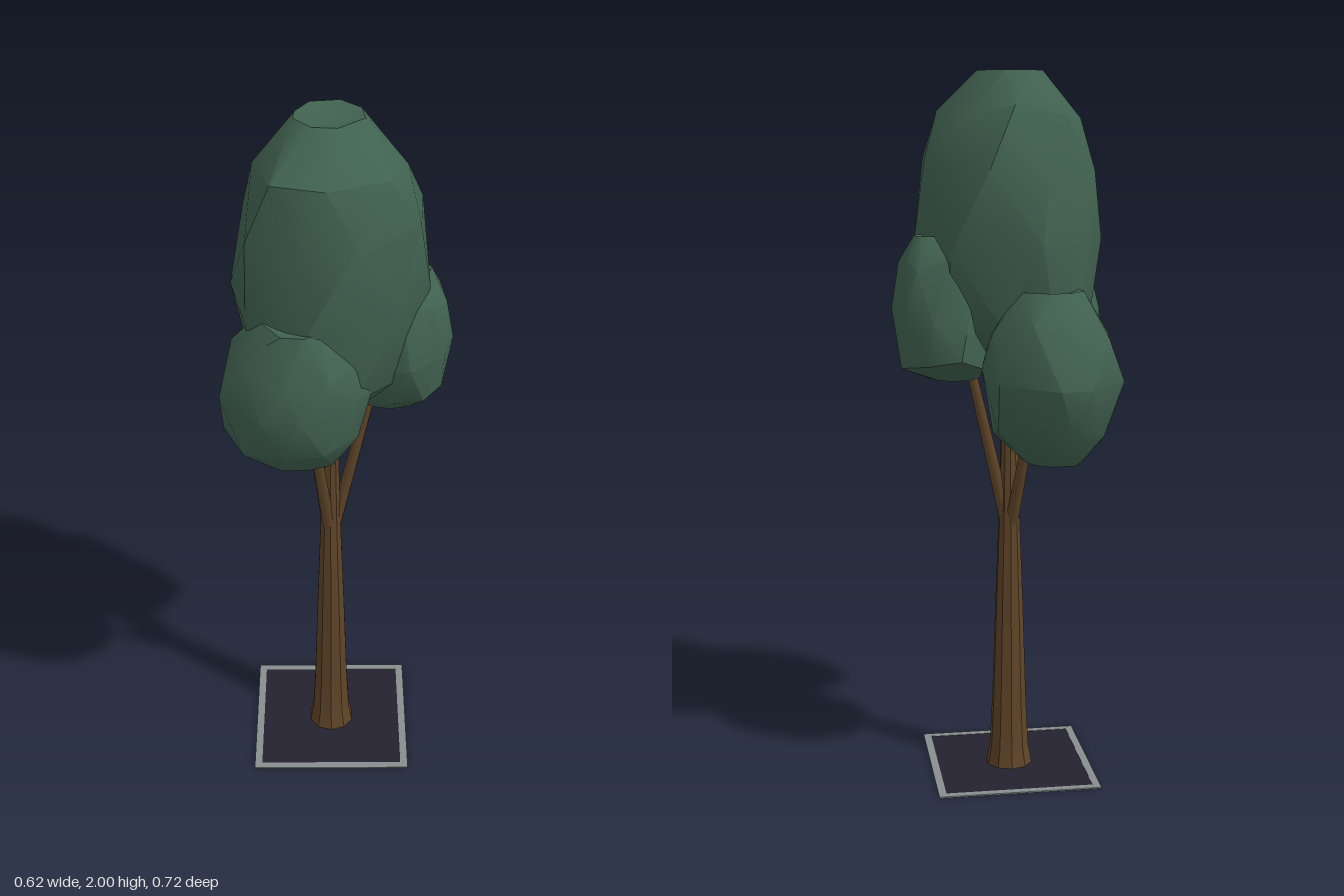
import * as THREE from 'three';
import { toCreasedNormals } from 'three/addons/utils/BufferGeometryUtils.js';

const CX = -0.027, CZ = 0.028; // trunk axis

function seeded(seed) {
  let s = seed;
  return () => (s = (s * 16807) % 2147483647) / 2147483647;
}

// Faceted leaf mass lofted through rings of [y, xMin, xMax, zMin, zMax]
function leafGeometry(rings, seed, sides = 9) {
  const rnd = seeded(seed);
  const pos = [], index = [];
  const mid = (r) => [(r[1] + r[2]) / 2, r[0], (r[3] + r[4]) / 2];
  rings.forEach((r, i) => {
    const [mx, y, mz] = mid(r);
    const edge = i === 0 || i === rings.length - 1;
    for (let k = 0; k < sides; k++) {
      const a = ((k + (i % 2) / 2 + (rnd() - 0.5) * 0.4) / sides) * Math.PI * 2;
      const f = 0.95 + rnd() * 0.14;
      pos.push(
        mx + Math.cos(a) * f * (r[2] - r[1]) / 2,
        y + (edge ? 0 : (rnd() - 0.5) * 0.05),
        mz + Math.sin(a) * f * (r[4] - r[3]) / 2
      );
    }
  });
  for (let i = 0; i < rings.length - 1; i++) {
    for (let k = 0; k < sides; k++) {
      const n = (k + 1) % sides, lo = i * sides, hi = lo + sides;
      if (i % 2) index.push(lo + k, hi + n, lo + n, lo + k, hi + k, hi + n);
      else index.push(lo + k, hi + k, lo + n, lo + n, hi + k, hi + n);
    }
  }
  // Slightly dented caps
  const last = (rings.length - 1) * sides, bottom = pos.length / 3, top = bottom + 1;
  const b = mid(rings[0]), t = mid(rings[rings.length - 1]);
  pos.push(b[0], b[1] + 0.01, b[2], t[0], t[1] - 0.02, t[2]);
  for (let k = 0; k < sides; k++) {
    const n = (k + 1) % sides;
    index.push(bottom, k, n, top, last + n, last + k);
  }
  const g = new THREE.BufferGeometry();
  g.setAttribute('position', new THREE.Float32BufferAttribute(pos, 3));
  g.setIndex(index);
  return toCreasedNormals(g, 0.6);
}

export function createModel() {
  const tree = new THREE.Group();
  tree.name = 'tree';
  const mat = (name, color) => {
    const m = new THREE.MeshStandardMaterial({ color });
    m.name = name;
    return m;
  };
  const leaf = mat('leaf green', 0x416250);
  const bark = mat('bark brown', 0x5f4428);
  const soilMat = mat('dark soil', 0x23222f);
  const stone = mat('stone grey', 0x888e8e);
  const add = (name, geometry, material) => {
    const m = new THREE.Mesh(geometry, material);
    m.name = name;
    tree.add(m);
    return m;
  };

  // Square stone rim around a flat soil bed
  const square = (Kind, h) => new Kind([[-h, -h], [h, -h], [h, h], [-h, h]].map((p) => new THREE.Vector2(...p)));
  const frame = square(THREE.Shape, 0.232);
  frame.holes.push(square(THREE.Path, 0.21));
  const rim = add('stoneRim', new THREE.ExtrudeGeometry(frame, { depth: 0.004, bevelEnabled: false }), stone);
  rim.rotation.x = -Math.PI / 2;
  rim.position.set(CX, 0, CZ);
  add('soilBed', new THREE.BoxGeometry(0.42, 0.003, 0.42), soilMat).position.set(CX, 0.0015, CZ);

  // Trunk flaring at the foot
  const profile = [[0.068, 0.002], [0.057, 0.06], [0.05, 0.2], [0.041, 0.48], [0.031, 0.74], [0.022, 1.1], [0.015, 1.35]];
  const trunk = new THREE.LatheGeometry(profile.map((p) => new THREE.Vector2(...p)), 10);
  add('trunk', toCreasedNormals(trunk, 0.5), bark).position.set(CX, 0, CZ);

  // Branches, each reaching into one side leaf mass
  const start = new THREE.Vector3(CX, 0.7, CZ);
  const ends = { leftBranch: [0.1, 1.25, 0.01], frontBranch: [-0.085, 1.22, 0.14], backBranch: [-0.08, 1.12, -0.1] };
  for (const [name, end] of Object.entries(ends)) {
    const dir = new THREE.Vector3(...end).sub(start);
    const branch = add(name, new THREE.CylinderGeometry(0.013, 0.02, dir.length(), 7), bark);
    branch.position.copy(start).addScaledVector(dir, 0.5);
    branch.quaternion.setFromUnitVectors(new THREE.Vector3(0, 1, 0), dir.normalize());
  }

  // Leaf masses
  add('crown', leafGeometry([
    [1.2, -0.13, 0.08, -0.07, 0.14],
    [1.3, -0.24, 0.17, -0.17, 0.25],
    [1.52, -0.3, 0.22, -0.21, 0.29],
    [1.74, -0.26, 0.23, -0.2, 0.27],
    [1.89, -0.23, 0.16, -0.16, 0.24],
    [2.0, -0.12, 0.06, -0.08, 0.11],
  ], 11, 8), leaf);
  add('frontLeaves', leafGeometry([
    [1.09, -0.22, 0.0, 0.08, 0.25],
    [1.19, -0.31, 0.06, 0.01, 0.33],
    [1.32, -0.31, 0.08, 0.0, 0.355],
    [1.43, -0.28, 0.06, 0.04, 0.34],
    [1.53, -0.2, -0.03, 0.1, 0.31],
  ], 23), leaf);
  add('leftLeaves', leafGeometry([
    [1.165, 0.06, 0.2, -0.08, 0.06],
    [1.22, 0.03, 0.28, -0.14, 0.11],
    [1.35, 0.03, 0.305, -0.15, 0.14],
    [1.48, 0.06, 0.28, -0.12, 0.11],
    [1.56, 0.14, 0.24, -0.06, 0.03],
  ], 37), leaf);
  add('backLeaves', leafGeometry([
    [0.95, -0.2, -0.05, -0.24, -0.06],
    [1.04, -0.29, 0.04, -0.31, 0.03],
    [1.19, -0.31, 0.07, -0.35, 0.05],
    [1.32, -0.28, 0.05, -0.31, 0.03],
    [1.42, -0.2, -0.02, -0.24, -0.06],
  ], 53), leaf);
  return tree;
}
